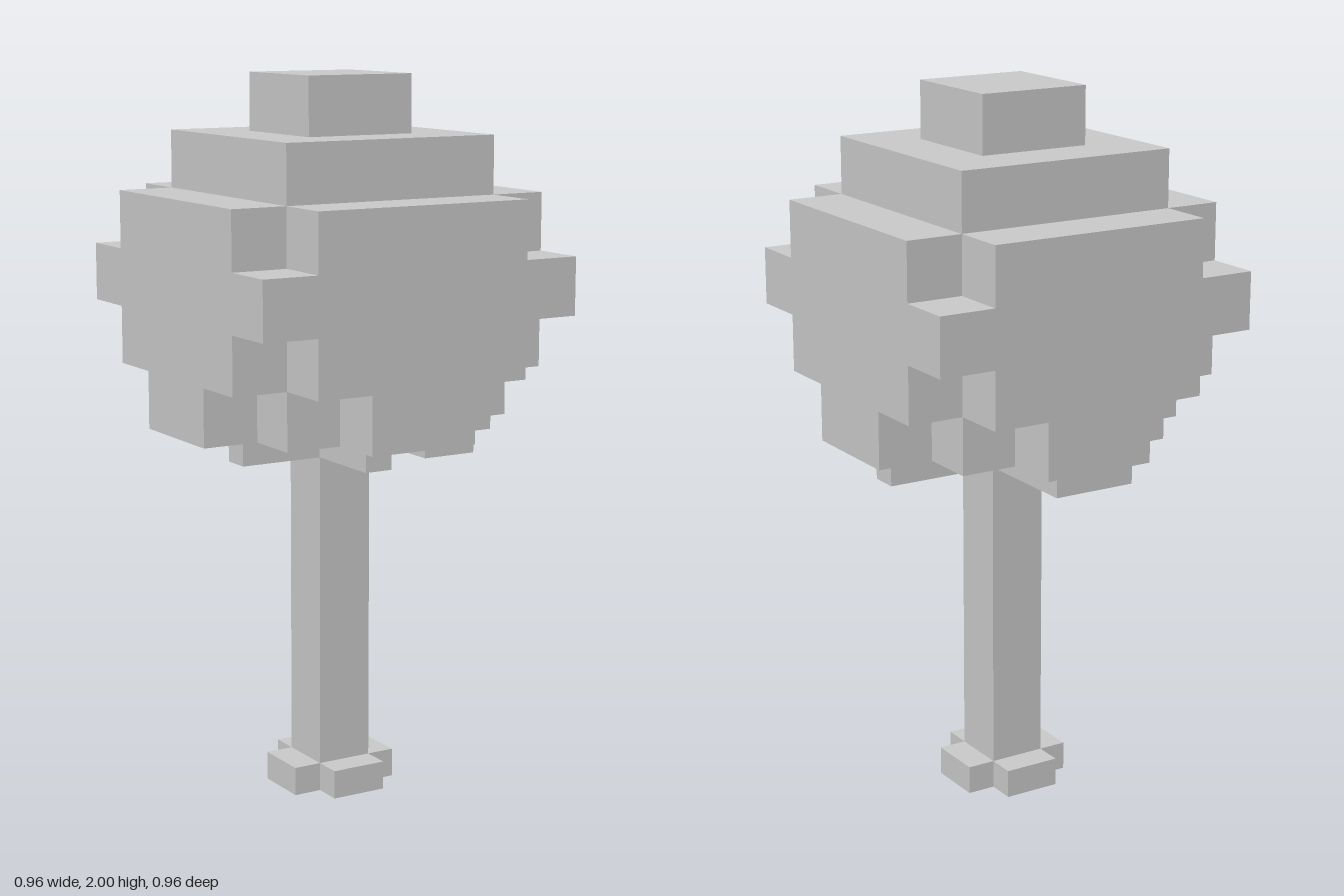
import * as THREE from 'three';

const U = 0.16; // edge length of one block
const material = new THREE.MeshStandardMaterial({ color: 0xcccccc, flatShading: true });

// Slab with a four-fold stepped outline; steps are the outer corners [x, z] of one quadrant, in blocks.
function steppedSlab(name, steps, y0, y1) {
  const quadrant = [];
  steps.forEach(([x, z], i) => {
    quadrant.push([x, z]);
    if (i < steps.length - 1) quadrant.push([steps[i + 1][0], z]);
  });
  const points = [];
  for (let q = 0; q < 4; q++) {
    for (const [x, z] of quadrant) {
      const [a, b] = [[x, z], [-z, x], [-x, -z], [z, -x]][q];
      points.push(new THREE.Vector2(a * U, b * U));
    }
  }
  const geometry = new THREE.ExtrudeGeometry(new THREE.Shape(points), { depth: y1 - y0, bevelEnabled: false });
  geometry.rotateX(-Math.PI / 2);
  geometry.translate(0, y0, 0);
  const mesh = new THREE.Mesh(geometry, material);
  mesh.name = name;
  return mesh;
}

// Box given by its extents in blocks (x, z) and heights in units.
function block(name, x0, x1, z0, z1, y0, y1) {
  const geometry = new THREE.BoxGeometry((x1 - x0) * U, y1 - y0, (z1 - z0) * U);
  geometry.translate((x0 + x1) * U / 2, (y0 + y1) / 2, (z0 + z1) * U / 2);
  const mesh = new THREE.Mesh(geometry, material);
  mesh.name = name;
  return mesh;
}

export function createModel() {
  const tree = new THREE.Group();
  tree.name = 'blockTree';

  // Trunk and its cross-shaped foot
  tree.add(block('trunk', -0.5, 0.5, -0.5, 0.5, 0.08, 1.04));
  tree.add(steppedSlab('rootFoot', [[1, 0.5], [0.5, 1]], 0, 0.08));

  // Crown, layer by layer from the bottom
  const crown = new THREE.Group();
  crown.name = 'crown';
  const layers = [
    ['crownUnderside', [[3, 1], [2, 2], [1, 3]], 1.04, 1.2],
    ['crownLower', [[3, 2], [2, 3]], 1.2, 1.36],
    ['crownMiddle', [[3, 3]], 1.36, 1.52],
    ['crownUpper', [[3, 2], [2, 3]], 1.52, 1.68],
    ['crownShoulder', [[2, 2]], 1.68, 1.84],
    ['crownTop', [[1, 1]], 1.84, 2],
  ];
  for (const layer of layers) crown.add(steppedSlab(...layer));
  tree.add(crown);

  // Thin branches spreading under the crown: x0, x1, z0, z1
  const branches = new THREE.Group();
  branches.name = 'branches';
  const strips = [
    [0.5, 2.5, -0.5, 0],
    [-0.5, 0, 0.5, 2],
    [-2, -0.5, 0, 0.5],
    [0, 0.5, -2, -0.5],
    [-1, 0.5, -2.5, -2],
    [-1, -0.5, -2, 0],
    [1, 2, 1, 1.5],
  ];
  for (const s of strips) branches.add(block('branch', ...s, 0.96, 1.04));
  tree.add(branches);

  return tree;
}
